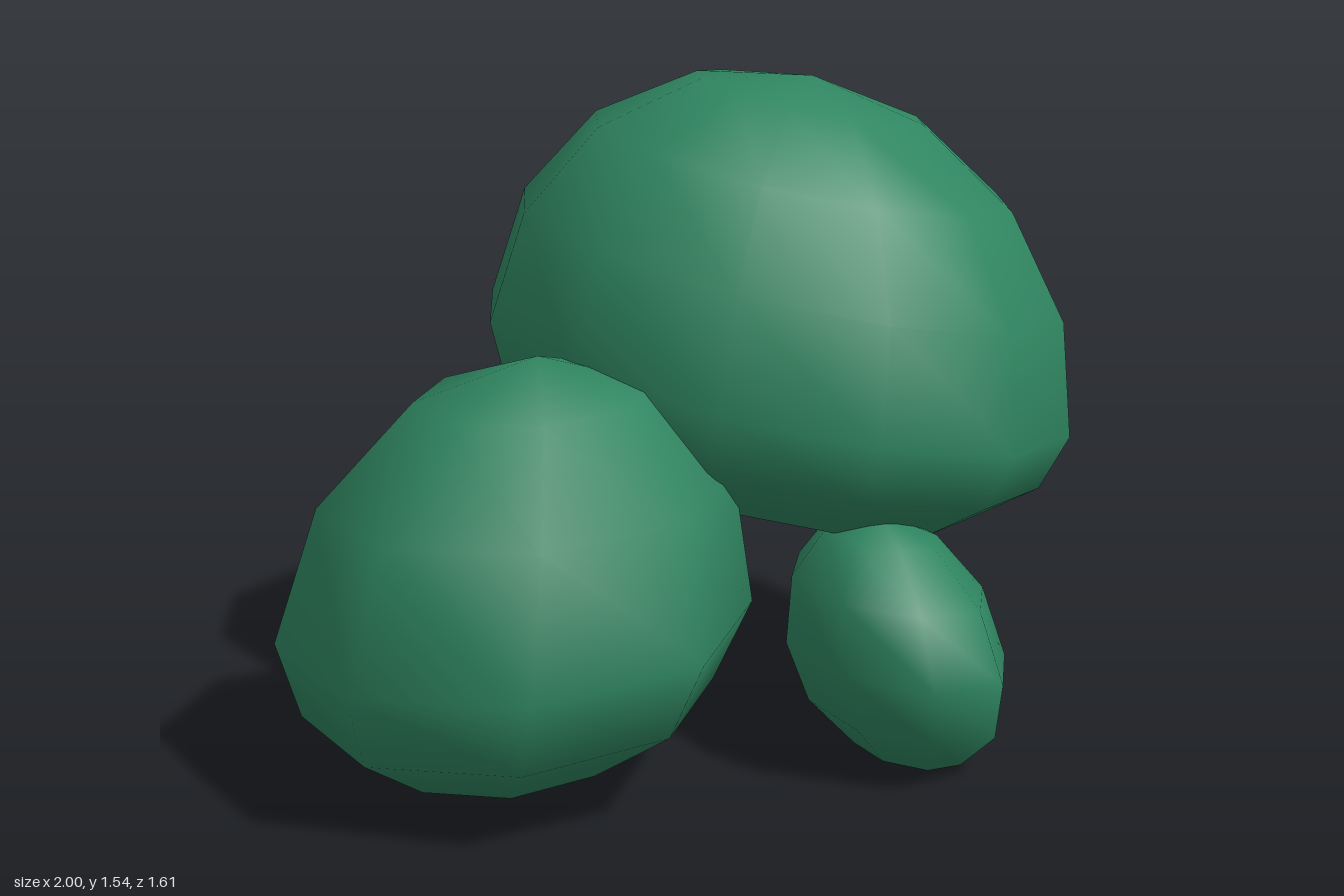
import * as THREE from 'three';
import { mergeVertices } from 'three/addons/utils/BufferGeometryUtils.js';

const foliageGreen = new THREE.MeshStandardMaterial({ color: 0x2f8560 });

// Smooth low-poly dome: a coarse sphere whose lower half is squashed by
// `lower` and cut flat, then scaled, tilted and skewed (y rises by `skew` per x).
function clump(name, { segments, rings, radii, center, lower, skew, yaw = 0, tiltX = 0, tiltZ = 0 }) {
  let g = new THREE.SphereGeometry(1, segments, rings);
  g.deleteAttribute('uv');
  g.deleteAttribute('normal');
  g = mergeVertices(g, 1e-4);
  g.rotateY(yaw);

  const p = g.attributes.position;
  for (let i = 0; i < p.count; i++) {
    const y = p.getY(i);
    if (y < 0) p.setY(i, lower * Math.max(y, -0.87));
  }
  g.scale(...radii);
  g.rotateX(tiltX);
  g.rotateZ(tiltZ);
  for (let i = 0; i < p.count; i++) p.setY(i, p.getY(i) + skew * p.getX(i));
  g.computeVertexNormals();

  const mesh = new THREE.Mesh(g, foliageGreen);
  mesh.name = name;
  mesh.position.set(...center);
  return mesh;
}

export function createModel() {
  const group = new THREE.Group();
  group.name = 'foliage';
  group.add(
    clump('largeClump', {
      segments: 12, rings: 8, radii: [0.715, 0.71, 0.71], center: [0.29, 0.85, -0.1],
      lower: 0.53, tiltX: 0.05, tiltZ: -0.1, skew: -0.11,
    }),
    clump('mediumClump', {
      segments: 8, rings: 6, radii: [0.545, 0.61, 0.55], center: [-0.465, 0.385, 0.26],
      lower: 0.58, yaw: -0.2, tiltZ: -0.1, skew: 0.16,
    }),
    clump('smallClump', {
      segments: 8, rings: 6, radii: [0.26, 0.325, 0.335], center: [0.42, 0.265, 0.375],
      lower: 0.85, yaw: -0.15, tiltZ: 0.15, skew: -0.25,
    }),
  );
  return group;
}
